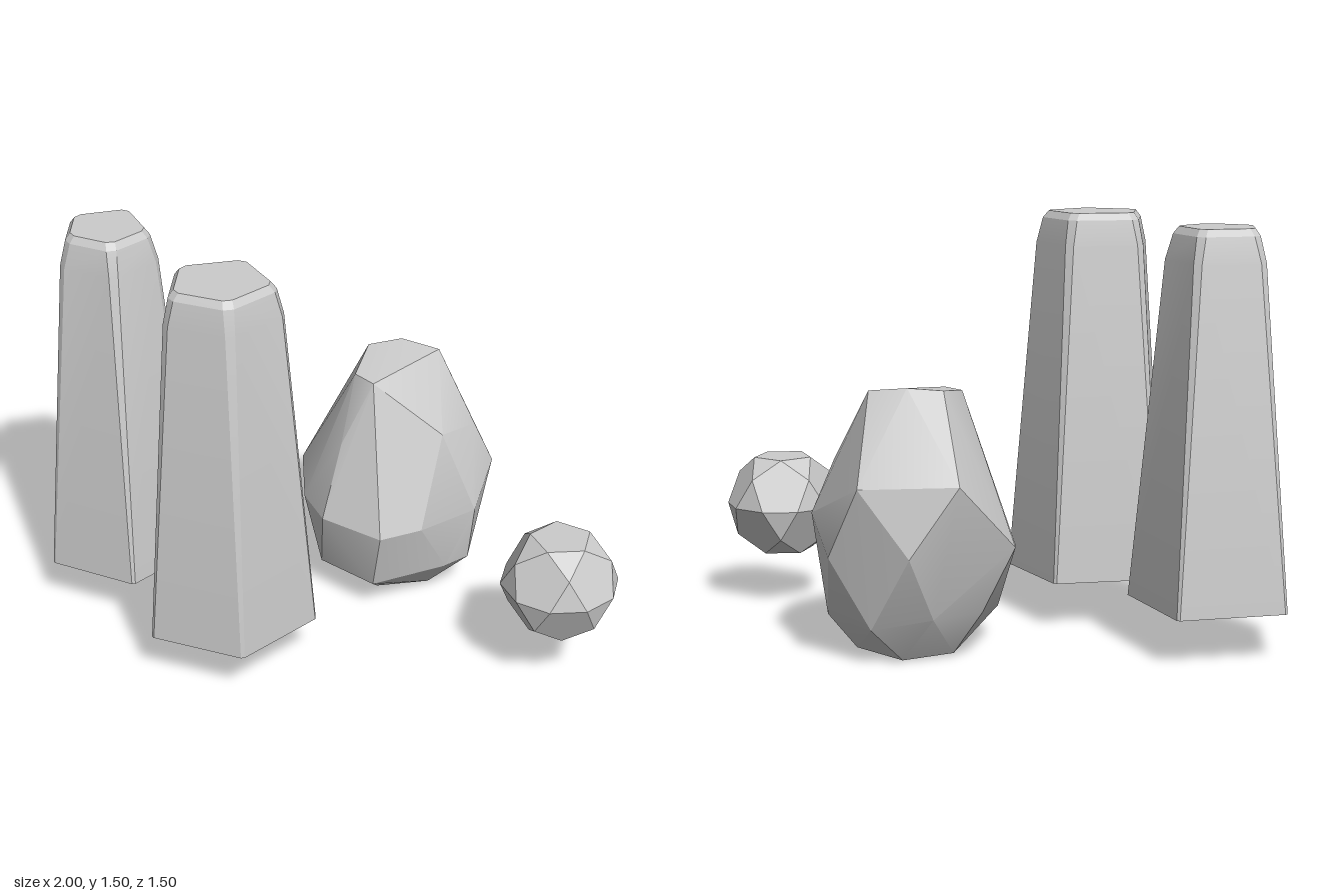
import * as THREE from 'three';
import { ConvexGeometry } from 'three/addons/geometries/ConvexGeometry.js';
import { toCreasedNormals } from 'three/addons/utils/BufferGeometryUtils.js';

const material = new THREE.MeshStandardMaterial({ color: 0xcccccc });

// Convex solid through a set of points, with gentle edges softened
function solid(name, points, crease = 0.01) {
  const mesh = new THREE.Mesh(toCreasedNormals(new ConvexGeometry(points), crease), material);
  mesh.name = name;
  return mesh;
}

// Tapered five-sided pillar: base corners [x, z], levels [y, scale, corner chamfer]
function pillar(name, corners, levels) {
  const base = corners.map(([x, z]) => new THREE.Vector2(x, z));
  const n = base.length;
  const centre = base.reduce((sum, p) => sum.add(p), new THREE.Vector2()).divideScalar(n);
  const points = [];
  for (const [y, scale, chamfer] of levels) {
    const ring = base.map(p => centre.clone().lerp(p, scale));
    ring.forEach((p, i) => {
      for (const next of [ring[(i + 1) % n], ring[(i + n - 1) % n]]) {
        const q = p.clone().add(next.clone().sub(p).setLength(chamfer));
        points.push(new THREE.Vector3(q.x, y, q.y));
      }
    });
  }
  return solid(name, points, 0.3);
}

// Faceted ball of twelve pentagons and twenty triangles
function facetedBall(name, radius, x, y, z) {
  const points = [];
  const ring = (count, r, h, start) => {
    for (let i = 0; i < count; i++) {
      const a = start + (i * 2 * Math.PI) / count;
      points.push(new THREE.Vector3(r * Math.cos(a), h, r * Math.sin(a)).multiplyScalar(radius));
    }
  };
  const major = 0.8507, minor = 0.5257;
  for (const side of [1, -1]) {
    const turn = side > 0 ? 0 : Math.PI;
    ring(5, minor, side * major, turn);
    ring(5, major, side * minor, turn + Math.PI / 5);
  }
  ring(10, 1, 0, Math.PI / 10);
  const ball = solid(name, points);
  ball.position.set(x, y, z);
  return ball;
}

export function createModel() {
  const group = new THREE.Group();
  group.name = 'stones';

  // Two standing pillars
  group.add(pillar('rightPillar',
    [[-0.84, 0.155], [-0.45, 0.265], [-0.413, 0.605], [-0.73, 0.748], [-1.0, 0.515]],
    [[0.167, 1, 0.008], [1.36, 0.635, 0.02], [1.45, 0.55, 0.022], [1.475, 0.48, 0.02]]));
  group.add(pillar('leftPillar',
    [[-0.18, 0.155], [0.19, 0.227], [0.216, 0.585], [-0.096, 0.753], [-0.357, 0.505]],
    [[0.167, 1, 0.008], [1.38, 0.7, 0.02], [1.47, 0.63, 0.022], [1.495, 0.56, 0.02]]));

  // Boulder, as uneven rings from top to bottom
  const boulderRings = [
    [[-0.21, 0.925, -0.36], [-0.15, 0.937, -0.47], [-0.02, 0.92, -0.54], [0, 0.9, -0.2], [-0.1, 0.9, -0.2]],
    [[-0.45, 0.64, -0.47], [-0.235, 0.63, -0.735], [0.14, 0.66, -0.58], [0.18, 0.7, -0.38], [-0.06, 0.66, -0.1]],
    [[-0.43, 0.4, -0.22], [-0.37, 0.4, -0.62], [-0.085, 0.375, -0.755], [0.155, 0.48, -0.665], [0.25, 0.37, -0.49],
      [0.23, 0.37, -0.24], [0.16, 0.35, -0.1], [-0.06, 0.375, -0.01], [-0.25, 0.36, -0.08]],
    [[-0.35, 0.17, -0.3], [-0.34, 0.17, -0.5], [-0.2, 0.13, -0.66], [0.05, 0.14, -0.67],
      [0.21, 0.14, -0.5], [0.215, 0.15, -0.38], [0.1, 0.12, -0.12], [-0.15, 0.12, -0.08]],
    [[-0.25, 0.012, -0.35], [-0.2, 0.005, -0.53], [0.05, 0, -0.55], [0.1, 0.015, -0.4], [0, 0.015, -0.23], [-0.15, 0.01, -0.24]],
  ];
  group.add(solid('boulder', boulderRings.flat().map(p => new THREE.Vector3(...p)), 0.4));

  // Small ball
  group.add(facetedBall('ball', 0.211, 0.798, 0.377, -0.38));
  return group;
}
